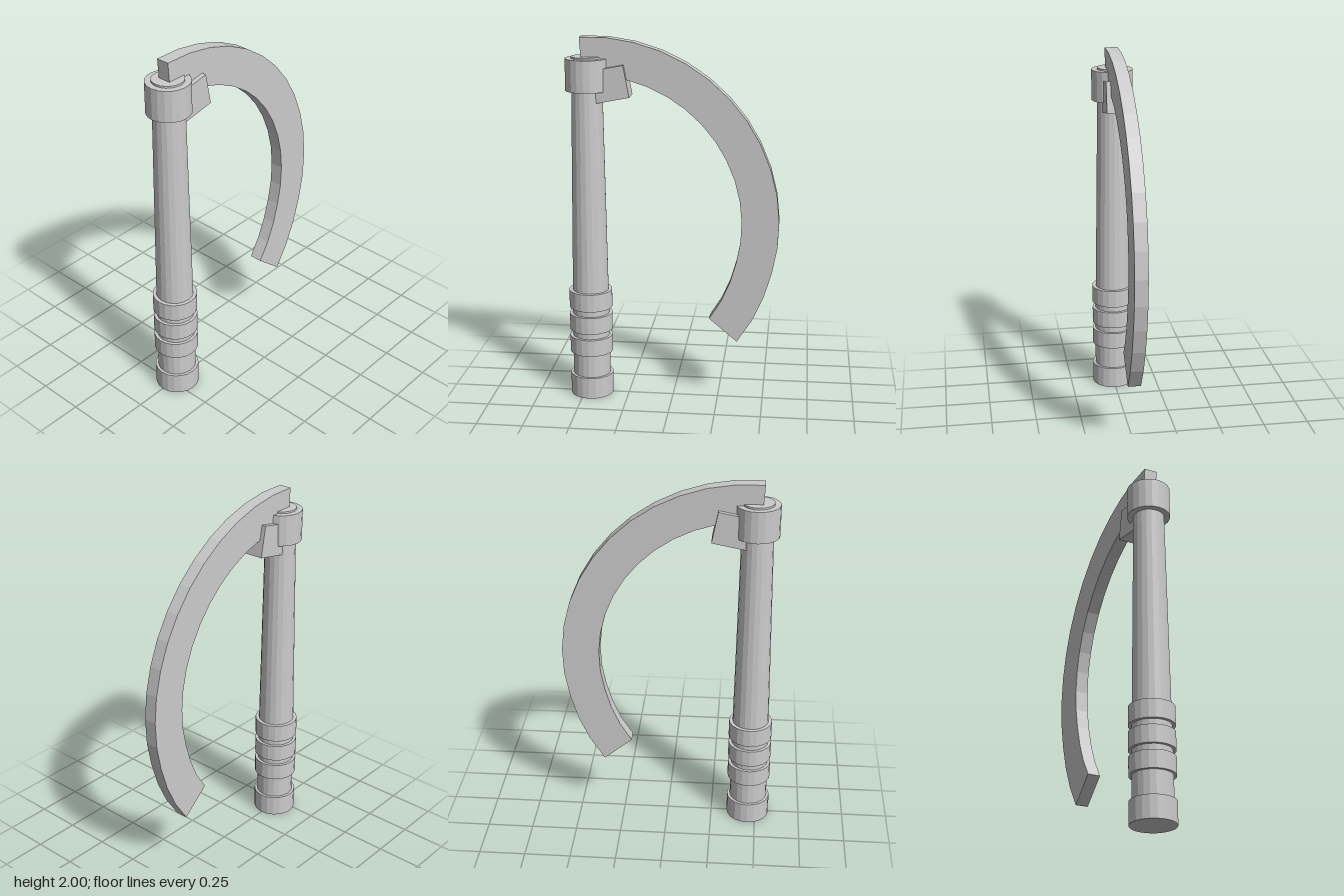
import * as THREE from 'three';

export function createModel() {
  const model = new THREE.Group();
  const material = new THREE.MeshStandardMaterial({ color: 0xcccccc, flatShading: true });
  const handleX = -0.458;

  const add = (name, geometry, x = 0, y = 0, z = 0) => {
    const mesh = new THREE.Mesh(geometry, material);
    mesh.name = name;
    mesh.position.set(x, y, z);
    model.add(mesh);
    return mesh;
  };

  // Upright round section from y0 to y1
  const section = (name, y0, y1, rBottom, rTop = rBottom) =>
    add(name, new THREE.CylinderGeometry(rTop, rBottom, y1 - y0, 20), handleX, (y0 + y1) / 2);

  // Handle: grip core, tapered shaft, head collar and cap
  section('gripCore', 0.06, 0.56, 0.104, 0.102);
  section('shaft', 0.56, 1.8, 0.1, 0.082);
  section('collar', 1.715, 1.885, 0.115);
  section('cap', 1.8, 1.895, 0.083);

  // Pommel and grip rings
  [[0, 0.12], [0.25, 0.345], [0.38, 0.475], [0.51, 0.61]].forEach(([y0, y1], i) =>
    section(i ? 'gripRing' + i : 'pommel', y0, y1, 0.119));

  // Tilted block that holds the blade against the collar
  const block = add('bladeMount', new THREE.BoxGeometry(0.19, 0.172, 0.12), -0.334, 1.755);
  block.rotation.z = THREE.MathUtils.degToRad(11);

  // Curved blade: 16 straight segments, opening slightly towards the free end
  const segments = 16, thickness = 0.071;
  const arcPoint = (i, radius) => {
    const degrees = THREE.MathUtils.lerp(93.5, -40, i / segments);
    const a = THREE.MathUtils.degToRad(degrees);
    const r = radius + 0.022 * Math.max(0, (-degrees - 17) / 23);
    return new THREE.Vector2(-0.428 + r * Math.cos(a), 1 + r * Math.sin(a));
  };
  const outline = [];
  for (let i = 0; i <= segments; i++) outline.push(arcPoint(i, 1));
  for (let i = segments; i >= 0; i--) outline.push(arcPoint(i, 0.8));
  const bladeGeometry = new THREE.ExtrudeGeometry(new THREE.Shape(outline), {
    depth: thickness, bevelEnabled: false,
  });
  add('blade', bladeGeometry, 0, 0, -thickness / 2);

  return model;
}
